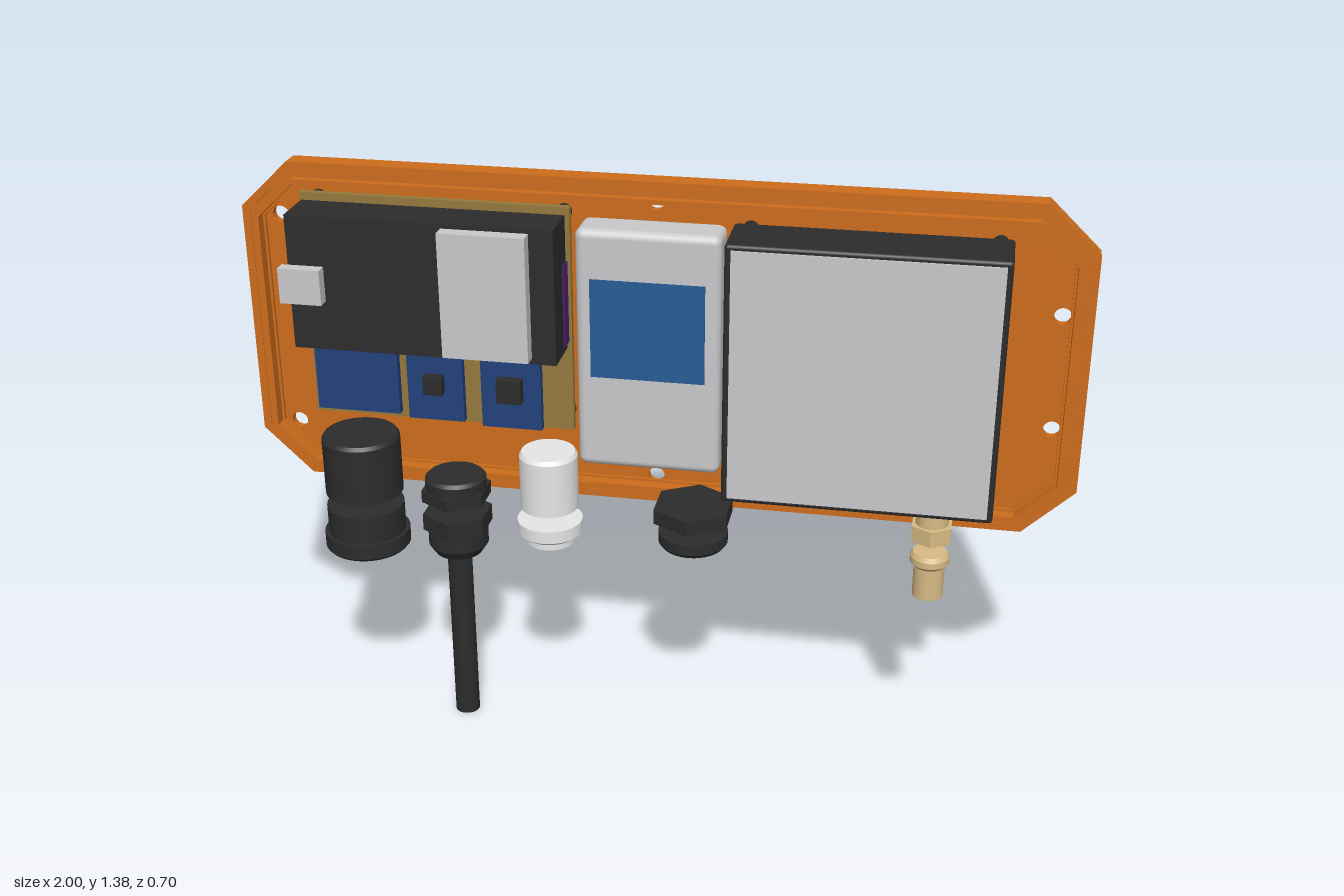
import * as THREE from 'three';
import { RoundedBoxGeometry } from 'three/addons/geometries/RoundedBoxGeometry.js';

const paint = (name, color) => Object.assign(new THREE.MeshStandardMaterial({ color }), { name });
const CY = 0.98;   // height of the plate centre
const CZ = 0.248;  // depth of the connector axes

export function createModel() {
  const orange = paint('orange housing', 0xcc6c1c);
  const black = paint('black plastic', 0x2c2c2c);
  const silver = paint('light grey', 0xc9c9cb);
  const white = paint('white plastic', 0xe6e6e6);
  const steel = paint('dark grey metal', 0x57575a);
  const blue = paint('screen blue', 0x265c94);
  const navy = paint('board navy', 0x22417c);
  const tan = paint('board tan', 0x94793c);
  const brass = paint('brass', 0xd8bb85);
  const purple = paint('board purple', 0x4c2070);

  const model = new THREE.Group();
  const add = (name, geometry, material, parent = model) => {
    const mesh = new THREE.Mesh(geometry, material);
    mesh.name = name;
    parent.add(mesh);
    return mesh;
  };

  // Box given by its limits on each axis, optionally with rounded edges
  const box = (name, mat, x0, x1, y0, y1, z0, z1, r = 0) => {
    const size = [x1 - x0, y1 - y0, z1 - z0];
    const geo = r ? new RoundedBoxGeometry(...size, 3, r) : new THREE.BoxGeometry(...size);
    geo.translate((x0 + x1) / 2, (y0 + y1) / 2, (z0 + z1) / 2);
    return add(name, geo, mat);
  };

  // Rectangle with cut corners, inset evenly from its outline
  const octagon = (w, h, cx, cy, inset = 0, type = THREE.Shape) => {
    const k = inset * 0.586;
    const a = w - inset, b = h - inset, c = cx - k, d = cy - k;
    return new type([
      [a, -b + d], [a, b - d], [a - c, b], [-a + c, b],
      [-a, b - d], [-a, -b + d], [-a + c, -b], [a - c, -b],
    ].map(([x, y]) => new THREE.Vector2(x, CY + y)));
  };
  const slab = (name, shape, z0, z1, mat) => {
    const geo = new THREE.ExtrudeGeometry(shape, { depth: z1 - z0, bevelEnabled: false, curveSegments: 20 });
    geo.translate(0, 0, z0);
    return add(name, geo, mat);
  };
  const drill = (shape, points, r) => {
    for (const [x, y] of points) shape.holes.push(new THREE.Path().absarc(x, y, r, 0, Math.PI * 2, true));
    return shape;
  };
  const plate = (inset = 0, type) => octagon(1, 0.405, 0.12, 0.115, inset, type);

  // Housing plate: counterbored back, floor, border, step and sealing lip
  const screws = [[-0.91, 1.25], [-0.91, 0.71], [0.93, 1.12], [0.93, 0.84], [0, 1.333], [0, 0.638]];
  slab('plateBack', drill(plate(), screws, 0.031), 0.073, 0.088, orange);
  slab('plateFloor', drill(plate(), screws, 0.02), 0.088, 0.108, orange);
  const ring = (name, outer, inner, z0, z1) => {
    const shape = plate(outer);
    shape.holes.push(plate(inner, THREE.Path));
    slab(name, shape, z0, z1, orange);
  };
  ring('plateBorder', 0, 0.047, 0.108, 0.124);
  ring('plateStep', 0.047, 0.053, 0.108, 0.116);
  ring('plateLip', 0.036, 0.047, 0.124, 0.145);
  ring('plateRidge', 0.012, 0.02, 0.124, 0.126);

  // Rear mount: cut-corner pad, oval flange, stem and ball
  const corners = [];
  for (const sx of [-1, 1]) for (const sy of [-1, 1]) corners.push([sx * 0.235, CY + sy * 0.19]);
  slab('mountPad', drill(octagon(0.3, 0.253, 0.1, 0.09), corners, 0.022), 0.038, 0.073, orange);
  const round = (r0, r1, z0, z1) => {  // cylinder along z
    const geo = new THREE.CylinderGeometry(r1, r0, z1 - z0, 64);
    return geo.rotateX(Math.PI / 2).translate(0, 0, (z0 + z1) / 2);
  };
  const flange = new THREE.Group();
  flange.name = 'mountFlange';
  flange.scale.set(1, 0.828, 1);
  flange.position.y = CY;
  model.add(flange);
  add('flangeDisc', round(0.31, 0.31, 0.012, 0.038), steel, flange);
  add('flangeEdge', round(0.302, 0.31, 0.005, 0.012), steel, flange);
  add('mountStem', round(0.08, 0.08, -0.12, 0.006), steel).position.y = CY;
  add('mountBall', new THREE.SphereGeometry(0.147, 48, 32), black).position.set(0, CY, -0.205);

  // Posts holding the modules off the plate
  const post = (x, y, z1) => {
    const geo = new THREE.CylinderGeometry(0.018, 0.018, z1 - 0.1, 16).rotateX(Math.PI / 2);
    add('standoff', geo.translate(x, y, (z1 + 0.1) / 2), black);
  };
  for (const y of [0.73, 1.285]) for (const x of [0.22, 0.78]) post(x, y, 0.175);
  for (const y of [0.8, 1.3]) for (const x of [-0.81, -0.215]) post(x, y, 0.155);

  // Large module with silver cover
  box('largeModule', black, 0.19, 0.81, 0.69, 1.315, 0.165, 0.32, 0.008);
  box('largeModuleCover', silver, 0.205, 0.797, 0.703, 1.303, 0.317, 0.325);

  // Middle module with blue panel
  box('middleModule', silver, -0.17, 0.168, 0.702, 1.293, 0.108, 0.215, 0.02);
  box('middlePanel', blue, -0.135, 0.133, 0.935, 1.176, 0.211, 0.218);

  // Circuit board stack on the right side
  box('carrierBoard', tan, -0.837, -0.19, 0.77, 1.327, 0.15, 0.166);
  box('controllerBoard', purple, -0.822, -0.196, 1.0, 1.2, 0.17, 0.208);
  box('controllerCase', black, -0.83, -0.2, 0.985, 1.31, 0.172, 0.285);
  box('caseCover', silver, -0.46, -0.257, 1.0, 1.3, 0.285, 0.32);
  box('casePort', silver, -0.845, -0.745, 1.105, 1.19, 0.285, 0.315);
  for (const [x0, x1, y0, y1, chip] of [
    [-0.825, -0.618, 0.785, 0.962, 0],
    [-0.595, -0.457, 0.777, 0.972, 0.023],
    [-0.412, -0.265, 0.77, 0.977, 0.03],
  ]) {
    box('smallBoard', navy, x0, x1, y0, y1, 0.166, 0.185);
    const x = (x0 + x1) / 2, y = (y0 + y1) / 2;
    if (chip) box('chip', black, x - chip, x + chip, y - chip, y + chip, 0.185, 0.21);
  }

  // Connectors: stacks of round or six-sided sections [y0, y1, bottom radius, top radius, sides]
  const connector = (name, x, mat, sections) => {
    const group = new THREE.Group();
    group.name = name;
    group.position.set(x, 0, CZ);
    model.add(group);
    for (const [y0, y1, r0, r1 = r0, sides = 32] of sections) {
      let geo = new THREE.CylinderGeometry(r1, r0, y1 - y0, sides);
      if (sides < 10) {
        geo = geo.toNonIndexed();
        geo.computeVertexNormals();
      }
      add(name + 'Section', geo.translate(0, (y0 + y1) / 2, 0), mat, group);
    }
  };
  connector('largeSocket', -0.7, black, [
    [0.605, 0.748, 0.094], [0.748, 0.757, 0.094, 0.088],
    [0.5, 0.571, 0.094], [0.463, 0.5, 0.104], [0.456, 0.463, 0.098, 0.104],
  ]);
  connector('cableGland', -0.467, black, [
    [0.605, 0.635, 0.086, 0.086, 6], [0.635, 0.66, 0.074], [0.66, 0.668, 0.074, 0.066],
    [0.53, 0.571, 0.086, 0.086, 6], [0.485, 0.53, 0.073], [0.462, 0.485, 0.058, 0.073],
  ]);
  connector('cable', -0.467, black, [[0, 0.47, 0.03]]);
  connector('whiteSocket', -0.235, white, [
    [0.605, 0.74, 0.07], [0.74, 0.75, 0.07, 0.064],
    [0.54, 0.571, 0.079], [0.53, 0.54, 0.066, 0.079], [0.512, 0.53, 0.06],
  ]);
  connector('ventPlug', 0.115, black, [
    [0.605, 0.642, 0.1, 0.1, 6],
    [0.545, 0.571, 0.083], [0.535, 0.545, 0.075, 0.083],
  ]);
  connector('brassFitting', 0.675, brass, [
    [0.605, 0.645, 0.052, 0.052, 6], [0.645, 0.69, 0.038],
    [0.56, 0.571, 0.046, 0.04], [0.545, 0.56, 0.046], [0.535, 0.545, 0.036, 0.046],
    [0.456, 0.535, 0.036],
  ]);

  return model;
}
